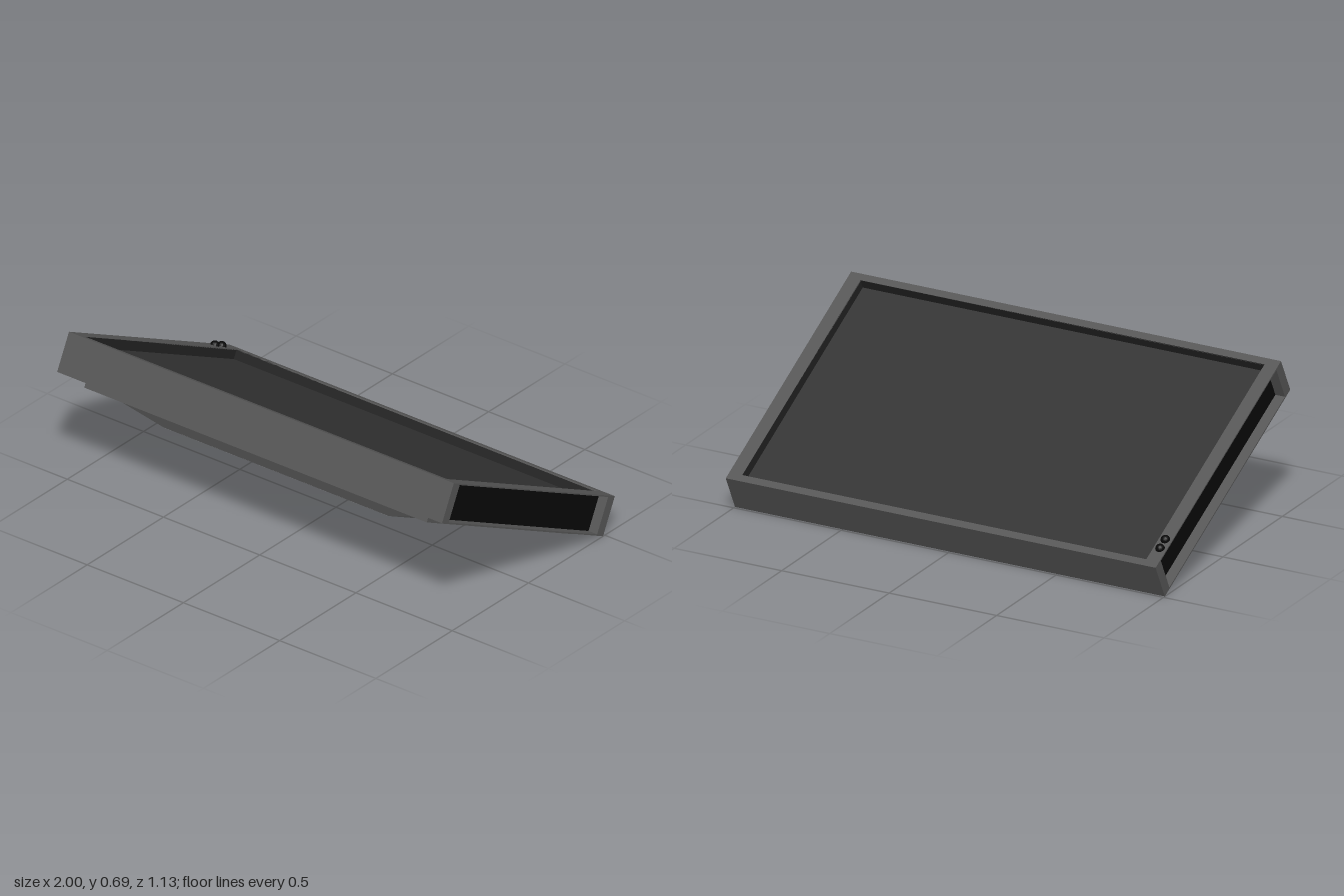
import * as THREE from 'three';

const mat = (color) => new THREE.MeshStandardMaterial({ color, flatShading: true });

export function createModel() {
  const body = mat(0x555555), cover = mat(0x444444), light = mat(0x777777);
  const glass = mat(0x333333), liner = mat(0x222222), black = mat(0x080808);

  const model = new THREE.Group();
  model.name = 'tiltedDisplay';
  // Everything is built flat (screen facing +y), then tilted as one
  const panel = new THREE.Group();
  panel.name = 'panel';
  panel.rotation.x = -0.468;
  panel.position.y = 0.343;
  model.add(panel);

  function add(name, geometry, material, x = 0, y = 0, z = 0) {
    const mesh = new THREE.Mesh(geometry, material);
    mesh.name = name;
    mesh.position.set(x, y, z);
    panel.add(mesh);
    return mesh;
  }

  // Box with half width w and half depth d, between heights y0 and y1
  function slab(name, w, d, y0, y1, material, x = 0, z = 0) {
    return add(name, new THREE.BoxGeometry(2 * w, y1 - y0, 2 * d), material, x, (y0 + y1) / 2, z);
  }

  // Rectangular ring: outer half sizes w, d; hole half sizes hw, hd
  function frame(name, w, d, hw, hd, y0, y1, material) {
    const shape = new THREE.Shape([[-w, -d], [w, -d], [w, d], [-w, d]].map((p) => new THREE.Vector2(...p)));
    shape.holes.push(new THREE.Path([[-hw, -hd], [-hw, hd], [hw, hd], [hw, -hd]].map((p) => new THREE.Vector2(...p))));
    const geometry = new THREE.ExtrudeGeometry(shape, { depth: y1 - y0, bevelEnabled: false });
    geometry.rotateX(-Math.PI / 2);
    return add(name, geometry, material, 0, y0, 0);
  }

  // Housing core, with the bezel in front and the rim behind
  slab('housingCore', 0.95, 0.591, -0.064, 0.04, body);
  frame('bezelInner', 0.95, 0.591, 0.945, 0.561, 0.04, 0.08, body);
  frame('bezelFace', 1, 0.591, 0.94, 0.557, 0.08, 0.086, body);
  frame('screenSurround', 0.945, 0.561, 0.94, 0.557, 0.04, 0.085, liner);
  slab('screen', 0.94, 0.557, 0.036, 0.042, glass);
  frame('rearRimInner', 0.95, 0.591, 0.93, 0.55, -0.08, -0.064, body);
  frame('rearRimFace', 1, 0.591, 0.93, 0.55, -0.086, -0.08, body);

  // Recessed black side grilles between the corner posts
  for (const sx of [-1, 1]) {
    slab('sideGrille', 0.004, 0.545, -0.08, 0.08, black, sx * 0.951);
    for (const sz of [-1, 1]) {
      slab('cornerPost', 0.025, 0.023, -0.08, 0.08, body, sx * 0.975, sz * 0.568);
    }
  }

  // Back plate and the sloped hump on it
  slab('backPlate', 0.89, 0.533, -0.115, -0.06, body);
  const hump = new THREE.CylinderGeometry(Math.SQRT2, Math.SQRT2 * 0.736, 0.063, 4, 1, true, Math.PI / 4);
  hump.scale(0.795, 1, 0.475);
  add('humpSlopes', hump, light, 0, -0.1465, 0);

  // Flat back of the hump with a shallow recessed panel
  frame('humpBack', 0.585, 0.35, 0.485, 0.289, -0.178, -0.158, [cover, light]);
  slab('recessPanel', 0.49, 0.294, -0.158, -0.15, light);

  // Two round buttons on the bezel
  for (const z of [-0.488, -0.438]) {
    add('button', new THREE.SphereGeometry(0.02, 16, 12), black, -0.97, 0.086, z);
  }
  return model;
}
